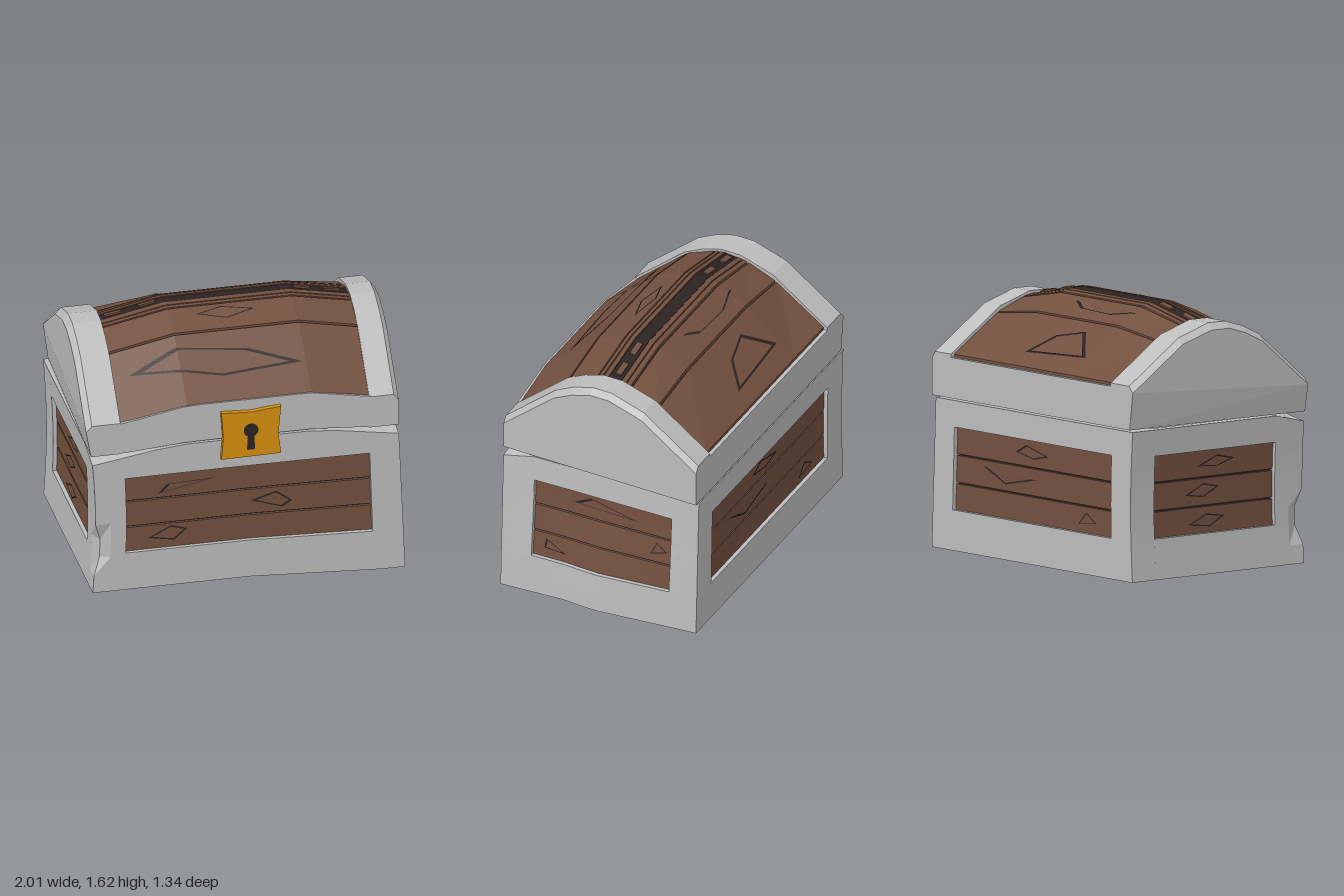
import * as THREE from 'three';

const mat = (name, color) => Object.assign(
  new THREE.MeshStandardMaterial({ color, flatShading: true, side: THREE.DoubleSide }), { name });
const clamp = (v) => Math.min(1, Math.max(0, v));
const V = (x, y, z) => new THREE.Vector3(x, y, z);

// Hand-made wobble of the lower box: uneven bottom, arched rim, bulging side, chipped corner
function warpBase(p) {
  let { x, y, z } = p;
  const w = x / 0.95;
  const arch = clamp((0.95 - Math.abs(x)) / 0.5);
  const top = clamp((y - 0.78) / 0.165), front = clamp((z - 0.43) / 0.21);
  if (x > 0) x -= 0.04 * w * clamp(y / 0.95);
  else x -= 0.02 * w * Math.sin(Math.PI * clamp(y / 0.95)) - 0.012 * w;
  if (p.x > 0.85) x += 0.06 * clamp(1 - Math.abs(z) / 0.65) * (1 - clamp((y - 0.27) / 0.4));
  if (p.x < -0.94 && z > 0.63 && y > 0.2 && y < 0.45) { x += 0.035; z -= 0.03; }
  y += top * front * (0.03 * arch - 0.05 * (1 - arch));
  y -= 0.045 * clamp(p.x / 0.8) * clamp((z - 0.2) / 0.44) * (1 - clamp((p.y - 0.04) / 0.8));
  return p.set(x, y, z);
}

// Wooden arch of the lid: height across z, raised in the middle of x
const ARCH = [[0.64, 1.14], [0.28, 1.45], [0.09, 1.525], [0, 1.54], [-0.13, 1.515], [-0.32, 1.44], [-0.67, 1.2]];
const lidBulge = (x, z) => 0.08 * clamp((0.78 - Math.abs(x)) / 0.4) * clamp((z + 0.65) / 0.55);
function lidY(x, z) {
  let i = 0;
  while (i < ARCH.length - 2 && z < ARCH[i + 1][0]) i++;
  const [z0, y0] = ARCH[i], [z1, y1] = ARCH[i + 1];
  return y0 + (y1 - y0) * (z - z0) / (z1 - z0) + lidBulge(x, z);
}

function fromTriangles(pts) {
  const g = new THREE.BufferGeometry().setFromPoints(pts);
  g.computeVertexNormals();
  return g;
}

// Box given by its limits, subdivided and then moved by a rule
function warpedBox([x0, x1], [y0, y1], [z0, z1], segs, rule) {
  let g = new THREE.BoxGeometry(x1 - x0, y1 - y0, z1 - z0, ...segs);
  g.translate((x0 + x1) / 2, (y0 + y1) / 2, (z0 + z1) / 2);
  const pos = g.attributes.position, p = V(0, 0, 0);
  for (let i = 0; i < pos.count; i++) {
    rule(p.fromBufferAttribute(pos, i));
    pos.setXYZ(i, p.x, p.y, p.z);
  }
  g = g.toNonIndexed();
  g.computeVertexNormals();
  return g;
}

// Closed solid through rings that follow each other along +x
function loft(rings) {
  const t = [], n = rings[0].length, last = rings[rings.length - 1];
  for (let r = 0; r + 1 < rings.length; r++) {
    for (let i = 0; i < n; i++) {
      const a = rings[r], b = rings[r + 1], j = (i + 1) % n;
      t.push(a[i], b[i], b[j], a[i], b[j], a[j]);
    }
  }
  for (let i = 1; i + 1 < n; i++) {
    t.push(rings[0][0], rings[0][i], rings[0][i + 1], last[0], last[i + 1], last[i]);
  }
  return fromTriangles(t);
}

// Polygon outline laid on a surface by a mapping (u, v) -> point
function outline(pts, width, map) {
  const n = pts.length, t = [], steps = 6;
  const c = pts.reduce((s, p) => [s[0] + p[0] / n, s[1] + p[1] / n], [0, 0]);
  const mix = (a, b, k) => [a[0] + (b[0] - a[0]) * k, a[1] + (b[1] - a[1]) * k];
  for (let i = 0; i < n; i++) {
    for (let s = 0; s < steps; s++) {
      const a = mix(pts[i], pts[(i + 1) % n], s / steps);
      const b = mix(pts[i], pts[(i + 1) % n], (s + 1) / steps);
      const [A, B, C, D] = [a, b, mix(b, c, width), mix(a, c, width)].map((q) => map(...q));
      t.push(A, B, C, A, C, D);
    }
  }
  return fromTriangles(t);
}

export function createModel() {
  const metal = mat('grey metal', 0xbdbdbd), wood = mat('brown wood', 0x73503f);
  const dark = mat('dark grooves', 0x2c2323), gold = mat('gold', 0xd8900f);
  const root = new THREE.Group();
  root.name = 'treasureChest';
  const group = (name) => { const g = new THREE.Group(); g.name = name; root.add(g); return g; };
  const add = (parent, name, geo, m) => {
    const mesh = new THREE.Mesh(geo, m);
    mesh.name = name;
    parent.add(mesh);
    return mesh;
  };

  // Lower box: posts, rails and floor
  const base = group('base');
  const part = (name, x, y, z, segs, m) => add(base, name, warpedBox(x, y, z, segs, warpBase), m);
  const FRONT = [0.43, 0.64], BACK = [-0.67, -0.49], H = [0.04, 0.945];
  for (const x of [[-0.95, -0.76], [0.76, 0.95]]) {
    for (const z of [FRONT, BACK]) part('cornerPost', x, H, z, [2, 8, 2], metal);
  }
  for (const y of [[0.04, 0.285], [0.785, 0.945]]) {
    for (const z of [[0.58, 0.64], [-0.67, -0.61]]) part('longRail', [-0.76, 0.76], y, z, [8, 2, 1], metal);
    for (const x of [[-0.95, -0.89], [0.89, 0.95]]) part('sideRail', x, y, [-0.49, 0.43], [1, 2, 8], metal);
  }
  part('floor', [-0.9, 0.9], [0.04, 0.1], [-0.62, 0.6], [8, 1, 8], metal);
  part('innerTop', [-0.9, 0.9], [0.88, 0.94], [-0.62, 0.6], [8, 1, 8], metal);
  part('panelBacking', [-0.905, 0.905], [0.15, 0.88], [-0.625, 0.598], [8, 6, 8], dark);

  // Three planks on every side
  for (const y of [[0.26, 0.441], [0.451, 0.612], [0.622, 0.8]]) {
    for (const z of [[0.59, 0.615], [-0.645, -0.62]]) part('longPlank', [-0.8, 0.8], y, z, [8, 2, 1], wood);
    for (const x of [[-0.925, -0.89], [0.89, 0.925]]) part('sidePlank', x, y, [-0.52, 0.46], [1, 2, 8], wood);
  }

  // Carved knots on the side planks
  const onZ = (z) => (u, v) => warpBase(V(u, v, z));
  const onX = (x) => (u, v) => warpBase(V(x, v, u));
  const knots = [
    [onZ(0.62), [
      [[-0.56, 0.65], [-0.5, 0.71], [-0.21, 0.72]],
      [[0.01, 0.54], [0.17, 0.59], [0.27, 0.52], [0.21, 0.48]],
      [[-0.62, 0.36], [-0.48, 0.43], [-0.38, 0.4], [-0.46, 0.33]]]],
    [onZ(-0.65), [
      [[0.18, 0.7], [0.08, 0.75], [-0.14, 0.7], [0, 0.67]],
      [[0.5, 0.58], [0.36, 0.53], [-0.03, 0.55], [0.28, 0.49]],
      [[-0.42, 0.33], [-0.5, 0.41], [-0.6, 0.35]]]],
    [onX(0.932), [
      [[0.17, 0.7], [0.06, 0.755], [-0.26, 0.685], [-0.08, 0.69]],
      [[-0.35, 0.5], [-0.39, 0.585], [-0.46, 0.53]],
      [[0.35, 0.35], [0.34, 0.41], [0.2, 0.34]]]],
    [onX(-0.932), [
      [[-0.15, 0.69], [0, 0.75], [0.13, 0.72], [0, 0.68]],
      [[-0.24, 0.52], [-0.1, 0.585], [0.02, 0.56], [-0.1, 0.5]],
      [[-0.22, 0.34], [-0.08, 0.4], [0.06, 0.38], [-0.05, 0.32]]]],
  ];
  for (const [map, list] of knots) for (const k of list) add(base, 'knot', outline(k, 0.2, map), dark);

  // Lid: metal end bands with a chamfered outer edge
  const lid = group('lid');
  const band = [[0.64, 1.16], [0.3, 1.45], [0.18, 1.51], [0.05, 1.55], [-0.08, 1.55], [-0.3, 1.48], [-0.67, 1.22],
    [-0.67, 0.955], [0.64, 0.955]];
  const bandRing = (x, inset, foot) => band.map(([z, y]) => V(
    x + (0.64 - z) * 0.028 + (y < 1 ? foot : 0), y > 1 ? y - inset : y, z));
  add(lid, 'rightBand', loft([bandRing(-1, 0.04, 0.03), bandRing(-0.965, 0, 0.03), bandRing(-0.79, 0, 0)]), metal);
  add(lid, 'leftBand', loft([bandRing(0.73, 0, 0), bandRing(0.88, 0, 0), bandRing(0.91, 0.04, 0)]), metal);

  // Lid rims, the front one arched
  const archRim = (p) => { p.y += clamp((0.78 - Math.abs(p.x)) / 0.4) * (p.y > 1.05 ? 0.075 : 0.03); };
  add(lid, 'frontRim', warpedBox([-0.8, 0.76], [0.957, 1.155], [0.56, 0.64], [16, 1, 1], archRim), metal);
  add(lid, 'backRim', warpedBox([-0.8, 0.8], [0.955, 1.2], [-0.67, -0.6], [1, 1, 1], () => {}), metal);

  // Lid planks over a dark backing
  const XS = [-0.82, -0.78, -0.38, 0.38, 0.78, 0.82];
  add(lid, 'lidBacking', loft(XS.map((x) => [
    ...ARCH.map(([z]) => V(x, lidY(x, z) - 0.018, z * 0.965)), V(x, 0.97, -0.64), V(x, 0.97, 0.61)])), dark);
  const plank = (name, xs, z0, z1, lift, m) => add(lid, name, loft(xs.map((x) => {
    const a = lidY(x, z0) + lift, b = lidY(x, z1) + lift;
    return [V(x, a, z0), V(x, b, z1), V(x, b - 0.05, z1), V(x, a - 0.05, z0)];
  })), m);
  for (const [z0, z1] of [[0.63, 0.287], [0.275, 0.095], [0.085, 0.063], [0.055, 0.024],
    [-0.062, -0.09], [-0.097, -0.125], [-0.137, -0.314], [-0.326, -0.645]]) {
    plank('lidPlank', XS, z0, z1, 0, wood);
  }
  plank('crestStrip', XS, 0.02, -0.058, -0.004, dark);
  for (const x of [-0.69, -0.48, 0.47, 0.65]) plank('crestPatch', [x - 0.05, x + 0.05], -0.005, -0.04, 0.003, wood);

  // Carved knots on the lid
  const onLid = (x, z) => V(x, lidY(x, z) + 0.006, z);
  for (const k of [
    [[-0.69, 0.42], [-0.4, 0.35], [0.05, 0.39], [0.36, 0.48], [-0.13, 0.51]],
    [[-0.22, 0.16], [-0.06, 0.12], [0.14, 0.16], [-0.04, 0.21]],
    [[-0.35, -0.54], [0.19, -0.565], [0.05, -0.44], [-0.17, -0.39]],
    [[-0.42, -0.2], [-0.23, -0.25], [0.07, -0.24], [0.18, -0.185], [-0.1, -0.215]],
  ]) add(lid, 'lidKnot', outline(k, 0.15, onLid), dark);

  // Lock plate with keyhole
  const lock = group('lock');
  const plate = new THREE.Shape([[-0.18, 0.86], [0, 0.862], [0.185, 0.865], [0.168, 1], [0.185, 1.178], [0, 1.16],
    [-0.18, 1.17], [-0.168, 1]].map(([x, y]) => new THREE.Vector2(x, y)));
  add(lock, 'lockPlate', new THREE.ExtrudeGeometry(plate, { depth: 0.04, bevelEnabled: false }), gold).position.z = 0.63;
  const hole = new THREE.Shape();
  hole.moveTo(-0.025, 0.91);
  hole.lineTo(0.025, 0.91);
  hole.lineTo(0.02, 1.0);
  hole.absarc(0, 1.04, 0.045, -1.1, Math.PI + 1.1, false);
  hole.lineTo(-0.02, 1.0);
  add(lock, 'keyhole', new THREE.ShapeGeometry(hole, 8), dark).position.z = 0.674;
  return root;
}
